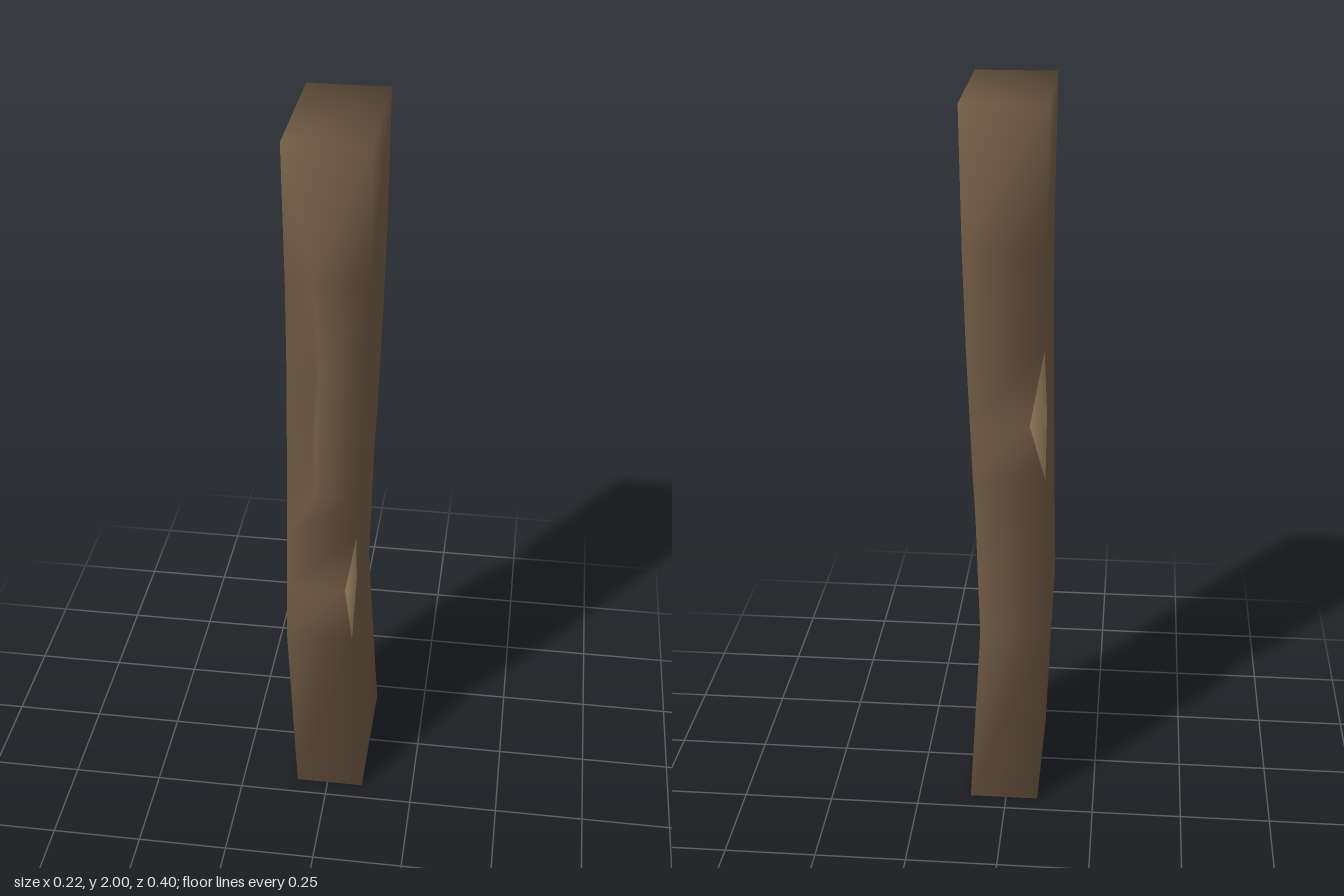
import * as THREE from 'three';

// Plank cross-sections from bottom to top:
// y, left x, right x, front chip depth, back chip depth, groove half width (null = no groove)
const SECTIONS = [
  [0, -0.09, 0.102, 0, 0, null],
  [0.55, -0.113, 0.07, 0, 0, null],
  [0.72, -0.11, 0.075, 1, 0, null],
  [0.9, -0.107, 0.08, 0, 0, null],
  [1.02, -0.105, 0.086, 0, 0, 0],
  [1.17, -0.103, 0.092, 0, 1, 0.008],
  [1.38, -0.1, 0.1, 0, 0, 0.014],
  [1.64, -0.1, 0.107, 0, 0, 0],
  [2, -0.105, 0.112, 0, 0, null],
];
const D = 0.2; // half depth of the plank

// Nine points, running from the front left corner round the plank
function ring([y, l, r, chipF, chipB, groove]) {
  const g = groove === null ? [l, l, l] : [-0.03 - groove, -0.03, -0.03 + groove];
  const sink = groove ? groove * 1.6 : 0;
  return [
    [l, y, D],
    [g[0], y, D], [g[1], y, D - sink], [g[2], y, D],
    [r - 0.025 * chipF, y, D], [r, y, D - 0.06 * chipF],
    [r, y, -D],
    [l + 0.04 * chipB, y, -D], [l, y, -D + 0.08 * chipB],
  ];
}

function plankGeometry() {
  const positions = [], ids = new Map();
  const faces = [[], []]; // bark-brown faces, chipped faces

  // Shared points give one smooth skin
  const id = (p) => {
    const key = p.map((v) => v.toFixed(4)).join();
    if (!ids.has(key)) {
      ids.set(key, positions.length / 3);
      positions.push(...p);
    }
    return ids.get(key);
  };
  const tri = (m, a, b, c) => {
    if (a !== b && b !== c && c !== a) faces[m].push(a, b, c);
  };

  const rings = SECTIONS.map((s) => ring(s).map(id));
  for (let k = 0; k < rings.length - 1; k++) {
    const lo = rings[k], hi = rings[k + 1];
    for (let i = 0; i < 9; i++) {
      const j = (i + 1) % 9;
      const m = i === 4 || i === 7 ? 1 : 0; // chipped edges
      tri(m, lo[i], lo[j], hi[j]);
      tri(m, lo[i], hi[j], hi[i]);
    }
  }

  // End caps
  const b = rings[0], t = rings[rings.length - 1];
  tri(0, t[0], t[4], t[6]);
  tri(0, t[0], t[6], t[7]);
  tri(0, b[0], b[6], b[4]);
  tri(0, b[0], b[7], b[6]);

  const geo = new THREE.BufferGeometry();
  geo.setAttribute('position', new THREE.Float32BufferAttribute(positions, 3));
  geo.setIndex([...faces[0], ...faces[1]]);
  geo.addGroup(0, faces[0].length, 0);
  geo.addGroup(faces[0].length, faces[1].length, 1);
  geo.computeVertexNormals();
  return geo;
}

export function createModel() {
  const wood = new THREE.MeshStandardMaterial({ color: 0x735e47 });
  wood.name = 'weatheredWood';
  const freshWood = new THREE.MeshStandardMaterial({ color: 0xa88f68 });
  freshWood.name = 'chippedWood';

  const group = new THREE.Group();
  group.name = 'woodenPlank';
  const plank = new THREE.Mesh(plankGeometry(), [wood, freshWood]);
  plank.name = 'plank';
  group.add(plank);
  return group;
}
